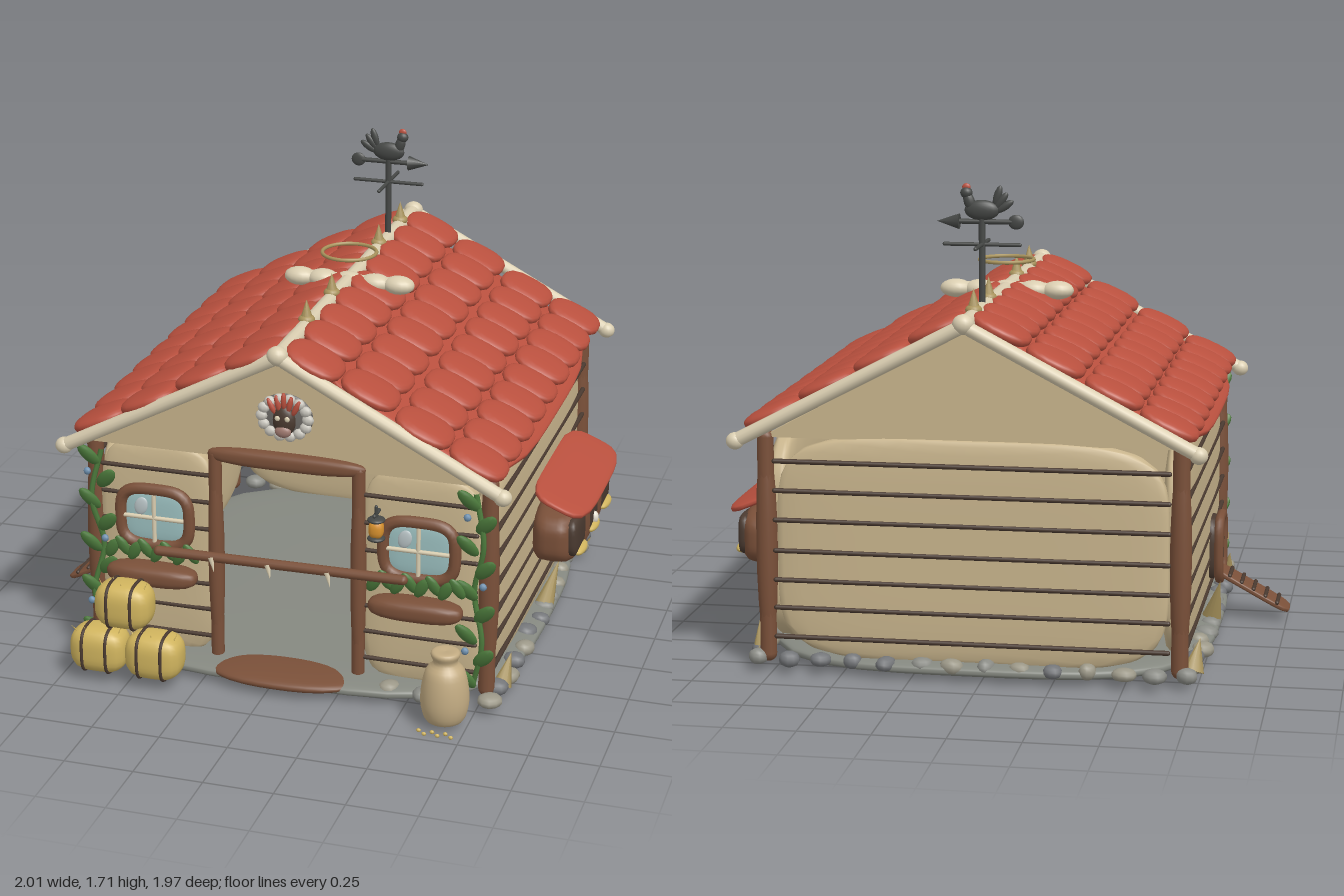
import * as THREE from 'three';
import { mergeVertices } from 'three/addons/utils/BufferGeometryUtils.js';

const WALL = 0xc9b58d, WOOD = 0x7a5039, DARK = 0x4a3a30, BONE = 0xd9cdb0, RED = 0xb9503e,
  IRON = 0x454745, STRAW = 0xd0b45e, THORN = 0xa8935c, GREEN = 0x4c7a3c, BASE = 0x858880, GLASS = 0x9cc0c0;
const CX = 0.04, SLOPE = 0.53, TILT = Math.atan(SLOPE);
const PLANKS = [0.13, 0.235, 0.335, 0.44, 0.55, 0.655, 0.76];

export function createModel() {
  const root = new THREE.Group();
  let seed = 7;
  const rand = () => (seed = (seed * 16807) % 2147483647) / 2147483647;
  const mats = {};
  const mat = c => mats[c] ??= new THREE.MeshStandardMaterial({ color: c });
  const V = (x, y, z) => new THREE.Vector3(x, y, z);

  function add(name, geo, color, pos = [0, 0, 0], rot = [0, 0, 0]) {
    const m = new THREE.Mesh(geo, mat(color));
    m.name = name;
    m.position.set(...pos);
    m.rotation.set(...rot);
    root.add(m);
    return m;
  }
  // Rounded lump: p = 2 is an ellipsoid, a higher p is a squarer pillow
  function blob(name, color, pos, half, p = 2, rot, seg = 16) {
    let g = new THREE.SphereGeometry(1, seg, Math.ceil(seg * 0.7));
    g.deleteAttribute('uv');
    g.deleteAttribute('normal');
    g = mergeVertices(g);
    const a = g.attributes.position;
    for (let i = 0; i < a.count; i++) {
      const v = V().fromBufferAttribute(a, i);
      const n = (Math.abs(v.x) ** p + Math.abs(v.y) ** p + Math.abs(v.z) ** p) ** (1 / p);
      a.setXYZ(i, v.x / n * half[0], v.y / n * half[1], v.z / n * half[2]);
    }
    g.computeVertexNormals();
    return add(name, g, color, pos, rot);
  }
  // Round-ended rod, or a cone, from point a to point b
  function rod(name, color, a, b, r, cone = false) {
    const A = V(...a), d = V(...b).sub(A), L = d.length();
    const g = cone ? new THREE.ConeGeometry(r, L, 10) : new THREE.CapsuleGeometry(r, Math.max(L - 2 * r, 0.001), 4, 12);
    const m = add(name, g, color, A.addScaledVector(d, 0.5).toArray());
    m.quaternion.setFromUnitVectors(V(0, 1, 0), d.normalize());
    return m;
  }
  // Closed rounded frame in the xy plane
  function ring(name, color, pos, rx, ry, r, p = 2, rot) {
    const pts = [];
    for (let i = 0; i < 24; i++) {
      const t = i / 24 * Math.PI * 2, c = Math.cos(t), s = Math.sin(t);
      pts.push(V(Math.sign(c) * Math.abs(c) ** (2 / p) * rx, Math.sign(s) * Math.abs(s) ** (2 / p) * ry, 0));
    }
    return add(name, new THREE.TubeGeometry(new THREE.CatmullRomCurve3(pts, true), 48, r, 8, true), color, pos, rot);
  }

  // Base slab with a border of stones
  blob('base', BASE, [CX, 0.038, -0.03], [0.81, 0.038, 0.85], 3.5, undefined, 40);
  const stone = (x, z) => blob('stone', [0x8b8c86, 0x75777a, 0x9c9888][Math.floor(rand() * 3)],
    [x + (rand() - 0.5) * 0.03, 0.05, z + (rand() - 0.5) * 0.03],
    [0.03 + rand() * 0.016, 0.022 + rand() * 0.008, 0.03 + rand() * 0.016], 2.3, [0, rand() * 3, 0], 10);
  for (const s of [-1, 1]) {
    for (let i = 0; i <= 14; i++) stone(CX + s * 0.77, -0.83 + i * 0.113);
    for (let i = 1; i < 13; i++) {
      const x = CX - 0.77 + i * 0.118;
      if (s < 0 || Math.abs(x - CX) > 0.3) stone(x, s > 0 ? 0.76 : -0.85);
    }
    rod('baseThorn', THORN, [CX + s * 0.77, 0.04, 0.6], [CX + s * 0.79, 0.15, 0.55], 0.035, true);
    rod('baseThorn', THORN, [CX + s * 0.77, 0.04, -0.06], [CX + s * 0.81, 0.21, -0.13], 0.04, true);
    rod('baseThorn', THORN, [CX + s * 0.77, 0.04, -0.74], [CX + s * 0.79, 0.15, -0.7], 0.04, true);
  }

  // Padded walls with dark plank seams
  for (const s of [-1, 1]) {
    blob('sideWall', WALL, [CX + s * 0.70, 0.45, -0.07], [0.05, 0.4, 0.71], 5, undefined, 40);
    blob('frontWall', WALL, [CX + s * 0.49, 0.45, 0.66], [0.22, 0.4, 0.045], 5, undefined, 32);
    for (const y of PLANKS) {
      rod('sideSeam', DARK, [CX + s * 0.747, y, 0.65], [CX + s * 0.747, y, -0.79], 0.009);
      rod('frontSeam', DARK, [CX + s * 0.28, y, 0.702], [CX + s * 0.7, y, 0.702], 0.008);
    }
    for (const z of [0.67, -0.81]) {
      rod('cornerPost', WOOD, [CX + s * 0.73, 0.03, z], [CX + s * 0.73, 0.87, z], 0.03);
      blob('cornerPostSwell', WOOD, [CX + s * 0.73, 0.45, z], [0.038, 0.41, 0.038]);
    }
  }
  blob('backWall', WALL, [CX, 0.45, -0.8], [0.69, 0.4, 0.045], 5, undefined, 40);
  for (const y of PLANKS) rod('backSeam', DARK, [CX - 0.7, y, -0.842], [CX + 0.7, y, -0.842], 0.009);

  // Gables
  const tri = new THREE.Shape([[-0.74, 0.84], [0.74, 0.84], [0, 1.24]].map(p => new THREE.Vector2(...p)));
  for (const z of [0.66, -0.82])
    add('gable', new THREE.ExtrudeGeometry(tri, { depth: 0.04, bevelEnabled: false }), WALL, [CX, 0, z]);

  // Roof slabs, tiles and edge poles
  for (const s of [-1, 1]) {
    blob('roofSlab', RED, [CX + s * 0.41, 1.043, -0.06], [0.44, 0.025, 0.8], 4, [0, 0, -s * TILT], 36);
    [0.11, 0.3, 0.5, 0.69].forEach((d, row) => {
      for (let i = 0; i < 9; i++)
        blob('roofTile', RED, [CX + s * d, 1.3 - SLOPE * d, 0.70 - i * 0.19 + (row % 2 ? -0.02 : 0) + (rand() - 0.5) * 0.015],
          [0.108, 0.028, 0.1], 2.8, [0, (rand() - 0.5) * 0.08, -s * (TILT - 0.06)], 18);
    });
    for (const z of [0.79, -0.95]) {
      rod('gablePole', BONE, [CX, 1.27, z], [CX + s * 0.81, 0.845, z], 0.025);
      blob('poleKnob', BONE, [CX + s * 0.8, 0.85, z], [0.032, 0.03, 0.03]);
    }
  }
  rod('ridgePole', BONE, [CX, 1.27, 0.81], [CX, 1.27, -0.98], 0.03);
  for (const z of [0.79, -0.95]) blob('ridgeKnob', BONE, [CX, 1.275, z], [0.038, 0.035, 0.035]);
  for (const z of [0.46, 0.16, -0.45, -0.75]) {
    blob('ridgeThornFoot', THORN, [CX, 1.295, z], [0.03, 0.02, 0.03]);
    rod('ridgeThorn', THORN, [CX, 1.29, z], [CX, 1.37, z], 0.026, true);
  }
  // Cross bone and ring above the ridge
  rod('ridgeBone', BONE, [CX - 0.2, 1.27, -0.06], [CX + 0.2, 1.27, -0.06], 0.026);
  for (const x of [-0.19, -0.1, 0, 0.1, 0.19]) blob('boneKnuckle', BONE, [CX + x, 1.27, -0.06], [0.06, 0.034, 0.045]);
  ring('ridgeRing', THORN, [CX, 1.38, -0.06], 0.1, 0.1, 0.007, 2, [Math.PI / 2, 0, 0]);

  // Weathervane
  const wz = -0.58;
  rod('vanePole', IRON, [CX, 1.27, wz], [CX, 1.62, wz], 0.012);
  rod('vaneCross', IRON, [CX - 0.14, 1.5, wz], [CX + 0.14, 1.5, wz], 0.007);
  rod('vaneCross', IRON, [CX, 1.5, wz - 0.14], [CX, 1.5, wz + 0.14], 0.007);
  rod('vaneArrow', IRON, [CX - 0.13, 1.58, wz], [CX + 0.11, 1.58, wz], 0.009);
  rod('vaneArrowTip', IRON, [CX + 0.08, 1.58, wz], [CX + 0.16, 1.58, wz], 0.028, true);
  blob('vaneArrowTail', IRON, [CX - 0.12, 1.58, wz], [0.028, 0.026, 0.01]);
  blob('vaneBird', IRON, [CX, 1.62, wz], [0.062, 0.036, 0.022]);
  blob('vaneNeck', IRON, [CX + 0.045, 1.65, wz], [0.02, 0.035, 0.016], 2, [0, 0, -0.3]);
  blob('vaneHead', IRON, [CX + 0.055, 1.68, wz], [0.022, 0.02, 0.018]);
  blob('vaneComb', RED, [CX + 0.055, 1.7, wz], [0.015, 0.013, 0.007]);
  for (let i = 0; i < 3; i++)
    blob('vaneTail', IRON, [CX - 0.055 - i * 0.012, 1.67 - i * 0.018, wz], [0.014, 0.038, 0.01], 2, [0, 0, 0.3 + i * 0.35]);

  // Gable rosette with a crested mask
  blob('rosettePlate', 0x6d6a66, [CX, 1.02, 0.7], [0.1, 0.085, 0.02]);
  for (let i = 0; i < 14; i++) {
    const t = i / 14 * Math.PI * 2;
    blob('rosettePebble', 0xc9c6bd, [CX + Math.cos(t) * 0.085, 1.02 + Math.sin(t) * 0.07, 0.715], [0.022, 0.02, 0.016], 2, undefined, 8);
  }
  blob('maskFace', DARK, [CX, 1.01, 0.72], [0.042, 0.055, 0.024]);
  blob('maskJaw', 0xa07a70, [CX, 0.975, 0.735], [0.03, 0.022, 0.015]);
  for (const x of [-0.045, -0.022, 0, 0.022, 0.045])
    blob('maskCrest', RED, [CX + x, 1.085 - Math.abs(x) * 0.5, 0.725], [0.011, 0.032, 0.011], 2, [0, 0, -x * 10], 8);
  for (const s of [-1, 1]) blob('maskEye', BONE, [CX + s * 0.018, 1.025, 0.742], [0.01, 0.01, 0.006], 2, undefined, 8);

  // Open doorway
  for (const s of [-1, 1]) {
    rod('doorPost', WOOD, [CX + s * 0.265, 0.04, 0.7], [CX + s * 0.265, 0.87, 0.7], 0.024);
    blob('doorPostSwell', WOOD, [CX + s * 0.265, 0.45, 0.7], [0.029, 0.4, 0.032]);
  }
  blob('doorLintel', WOOD, [CX, 0.85, 0.7], [0.29, 0.033, 0.038], 3, undefined, 24);
  blob('doorStep', WOOD, [CX, 0.045, 0.745], [0.27, 0.028, 0.12], 2.4, undefined, 28);
  rod('perch', WOOD, [-0.43, 0.485, 0.79], [0.51, 0.495, 0.79], 0.018);
  for (const x of [-0.21, 0, 0.22]) rod('perchThorn', BONE, [x, 0.49, 0.8], [x + 0.015, 0.44, 0.815], 0.012, true);

  // Windows, sills and greenery, mirrored
  for (const s of [-1, 1]) {
    const x = CX + s * 0.49;
    blob('windowPane', GLASS, [x, 0.58, 0.7], [0.13, 0.105, 0.025], 4, undefined, 24);
    ring('windowFrame', WOOD, [x, 0.58, 0.72], 0.13, 0.108, 0.022, 3.5);
    rod('windowBar', BONE, [x - 0.12, 0.58, 0.728], [x + 0.12, 0.58, 0.728], 0.008);
    rod('windowBar', BONE, [x, 0.48, 0.728], [x, 0.68, 0.728], 0.008);
    blob('windowGlint', 0xb9c4c6, [x - 0.05, 0.62, 0.724], [0.025, 0.035, 0.008], 2, [0, 0, -0.3]);
    blob('windowSill', WOOD, [x, 0.375, 0.76], [0.17, 0.04, 0.055], 3, undefined, 24);
    for (let i = 0; i < 8; i++)
      blob('sillLeaf', GREEN, [x - 0.15 + i * 0.043, 0.46 + (i % 2) * 0.015, 0.765], [0.022, 0.045, 0.012], 2, [0.2, 0, (i % 2 ? 0.5 : -0.5)], 10);
    const stem = new THREE.CatmullRomCurve3([0, 1, 2, 3, 4].map(i => V(CX + s * (0.71 + (i % 2 ? 0.015 : -0.02)), 0.08 + i * 0.185, 0.715 + (i % 2) * 0.02)));
    add('vineStem', new THREE.TubeGeometry(stem, 32, 0.01, 6), GREEN);
    for (let i = 0; i < 9; i++) {
      const k = i % 2 ? 1 : -1;
      blob('vineLeaf', GREEN, [CX + s * 0.7 + k * 0.032, 0.12 + i * 0.085, 0.735], [0.027, 0.052, 0.014], 2, [0.3, 0, -k * 0.7], 10);
      if (i % 3 === 1) blob('vineFlower', 0x6d8fae, [CX + s * 0.7 - k * 0.03, 0.15 + i * 0.085, 0.755], [0.014, 0.014, 0.012], 2, undefined, 8);
    }
  }

  // Lantern by the door
  rod('lanternHook', IRON, [0.38, 0.71, 0.69], [0.38, 0.71, 0.77], 0.007);
  rod('lanternChain', IRON, [0.385, 0.75, 0.755], [0.385, 0.68, 0.755], 0.006);
  blob('lanternGlass', 0xd8912e, [0.385, 0.66, 0.755], [0.026, 0.032, 0.026], 3);
  for (const y of [0.695, 0.625]) blob('lanternCap', IRON, [0.385, y, 0.755], [0.032, 0.011, 0.032]);

  // Straw bales with bands
  for (const [x, y] of [[-0.61, 0.12], [-0.4, 0.12], [-0.51, 0.305]]) {
    blob('bale', STRAW, [x, y, 0.88], [0.105, 0.085, 0.075], 3.2, undefined, 24);
    for (const d of [-0.045, 0.045])
      ring('baleBand', DARK, [x + d, y, 0.88], 0.074, 0.084, 0.006, 3.2, [0, Math.PI / 2, 0]);
    for (let i = 0; i < 5; i++)
      rod('baleStraw', STRAW, [x - 0.07 + i * 0.035, y + 0.05, 0.9], [x - 0.09 + i * 0.045, y + 0.1, 0.9 + (rand() - 0.5) * 0.1], 0.004, true);
  }

  // Feed sack and spilled grain
  const sack = [[0, 0.015], [0.06, 0.02], [0.083, 0.07], [0.084, 0.14], [0.07, 0.21], [0.043, 0.245], [0.052, 0.275], [0.04, 0.288], [0, 0.285]];
  add('feedSack', new THREE.LatheGeometry(new THREE.SplineCurve(sack.map(p => new THREE.Vector2(...p))).getPoints(28), 24), 0xc2ab82, [0.67, 0, 0.87]);
  for (let i = 0; i < 6; i++) blob('grain', STRAW, [0.6 + i * 0.024, 0.01, 0.955 + (i % 2) * 0.02], [0.009, 0.007, 0.007], 2, undefined, 6);

  // Nest boxes under an awning on the left side
  blob('nestBox', WOOD, [0.87, 0.395, -0.2], [0.092, 0.108, 0.335], 4, undefined, 32);
  for (const z of [0.02, -0.2, -0.42]) {
    blob('nestHole', DARK, [0.94, 0.405, z], [0.025, 0.075, 0.092], 4, undefined, 20);
    blob('nestStraw', STRAW, [0.96, 0.345, z], [0.024, 0.018, 0.065]);
  }
  blob('egg', 0xe6dfd0, [0.965, 0.375, -0.2], [0.017, 0.024, 0.017]);
  blob('awning', RED, [0.89, 0.54, -0.21], [0.12, 0.018, 0.35], 4, [0, 0, -0.4], 30);

  // Hatch and ramp on the right side
  blob('hatch', DARK, [-0.705, 0.27, 0.17], [0.05, 0.12, 0.09], 3.5, undefined, 20);
  ring('hatchFrame', WOOD, [-0.745, 0.27, 0.17], 0.09, 0.12, 0.018, 3.5, [0, Math.PI / 2, 0]);
  blob('ramp', WOOD, [-0.855, 0.12, 0.17], [0.175, 0.012, 0.07], 5, [0, 0, 0.5], 24);
  for (let i = 0; i < 6; i++) {
    const x = -0.965 + i * 0.045, y = 0.072 + i * 0.0246;
    rod('rampCleat', DARK, [x, y, 0.1], [x, y, 0.24], 0.008);
  }
  return root;
}
